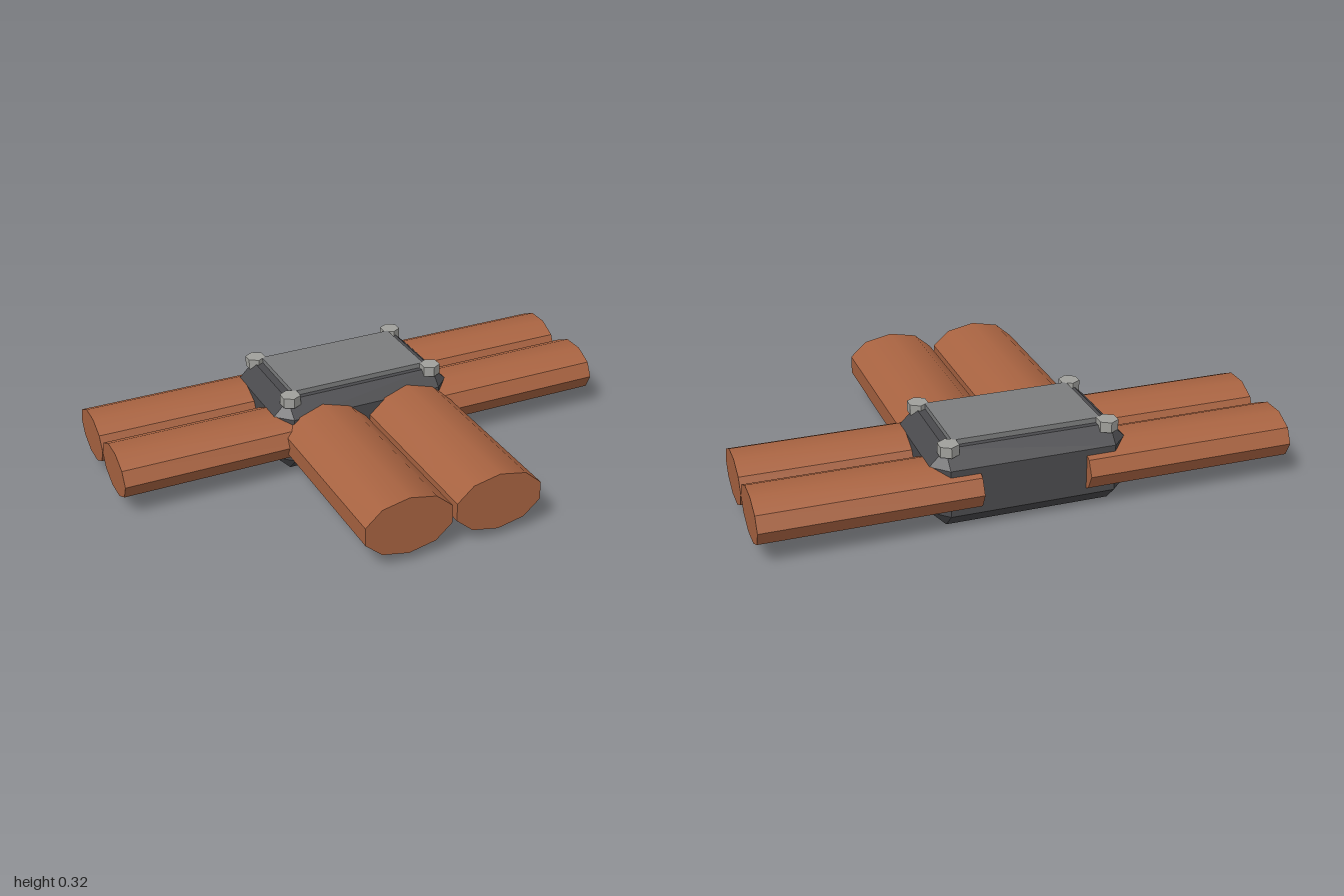
import * as THREE from 'three';
import { toCreasedNormals } from 'three/addons/utils/BufferGeometryUtils.js';
import { ConvexGeometry } from 'three/addons/geometries/ConvexGeometry.js';

const paint = (name, color) => {
  const m = new THREE.MeshStandardMaterial({ color });
  m.name = name;
  return m;
};

export function createModel() {
  const clay = paint('terracotta', 0xa86341);
  const dark = paint('dark grey', 0x4a4a4d);
  const steel = paint('plate grey', 0x7c7d7e);
  const bolt = paint('bolt grey', 0xa0a09c);

  const group = new THREE.Group();
  const cz = -0.335; // hub centre along z

  const add = (name, geometry, material, x, y, z) => {
    const mesh = new THREE.Mesh(geometry, material);
    mesh.name = name;
    mesh.position.set(x, y, z);
    group.add(mesh);
    return mesh;
  };

  // Hub: a box with every edge and corner bevelled
  const half = [0.37, 0.15, 0.24], bevel = 0.06;
  const points = [];
  for (const sx of [-1, 1]) for (const sy of [-1, 1]) for (const sz of [-1, 1]) {
    const s = [sx, sy, sz];
    for (let axis = 0; axis < 3; axis++) {
      points.push(new THREE.Vector3(...half.map((h, i) => s[i] * (i === axis ? h : h - bevel))));
    }
  }
  add('hub', new ConvexGeometry(points), dark, 0, 0.15, cz);

  // Cover plate on the hub
  add('coverPlate', new THREE.BoxGeometry(0.56, 0.03, 0.32), steel, 0, 0.305, cz);

  // Hexagonal bolts at the hub corners
  const boltGeo = toCreasedNormals(new THREE.CylinderGeometry(0.04, 0.04, 0.04, 6), 0.5);
  for (const sx of [-1, 1]) for (const sz of [-1, 1]) {
    add('bolt', boltGeo, bolt, sx * 0.3, 0.3, cz + sz * 0.18);
  }

  // Flattened ten-sided pipe, 0.8 long
  const pipe = (rx, rz) => new THREE.CylinderGeometry(1, 1, 0.8, 10).scale(rx, 1, rz);

  // Side pipes, two to each side
  const sideGeo = toCreasedNormals(pipe(0.0946, 0.143).rotateZ(Math.PI / 2), 0.55);
  for (const sx of [-1, 1]) for (const sz of [-1, 1]) {
    add(sx > 0 ? 'leftPipe' : 'rightPipe', sideGeo, clay, sx * 0.6, 0.151, cz + sz * 0.1435);
  }

  // Front pipes
  const frontGeo = toCreasedNormals(pipe(0.18, 0.115).rotateX(Math.PI / 2), 0.55);
  for (const sx of [-1, 1]) add('frontPipe', frontGeo, clay, sx * 0.18, 0.152, 0.222);

  return group;
}
